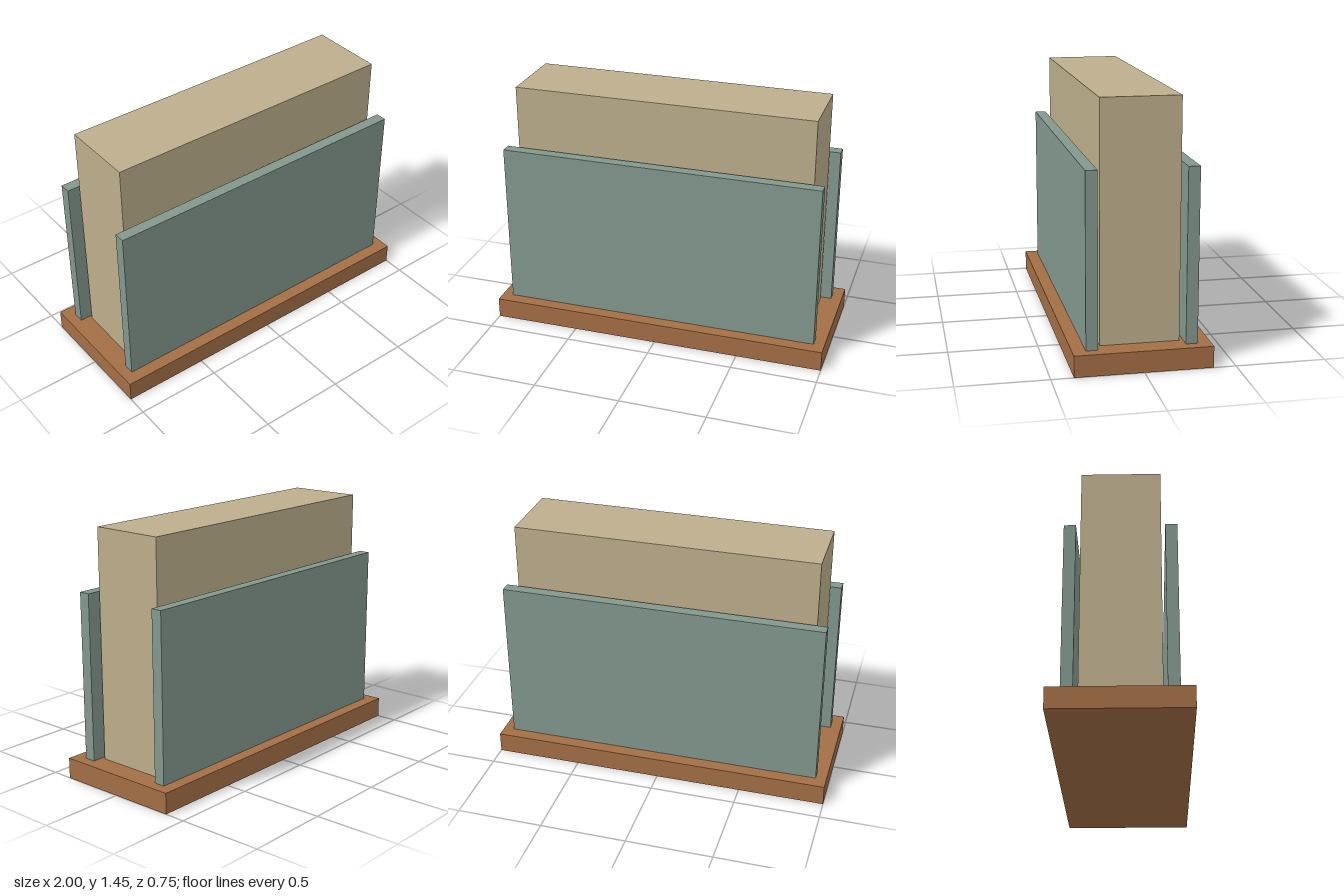
import * as THREE from 'three';

const material = (name, color) => {
  const m = new THREE.MeshStandardMaterial({ color });
  m.name = name;
  return m;
};

export function createModel() {
  const model = new THREE.Group();
  model.name = 'napkinHolder';

  const wood = material('brown wood', 0xa36e45);
  const green = material('sage green', 0x82978d);
  const cream = material('cream paper', 0xbcad8b);

  // Box standing with its underside at y = bottom
  const addBox = (name, mat, width, height, depth, bottom, z = 0) => {
    const mesh = new THREE.Mesh(new THREE.BoxGeometry(width, height, depth), mat);
    mesh.name = name;
    mesh.position.set(0, bottom + height / 2, z);
    model.add(mesh);
  };

  const baseTop = 0.12;
  addBox('base', wood, 2, baseTop, 0.755, 0);

  // Upright stack between the two side panels
  addBox('stack', cream, 1.75, 1.33, 0.435, baseTop);

  // Mirrored panels at the front and back
  for (const [name, side] of [['frontPanel', 1], ['backPanel', -1]]) {
    addBox(name, green, 1.875, 0.968, 0.065, baseTop, side * 0.271);
  }

  return model;
}
